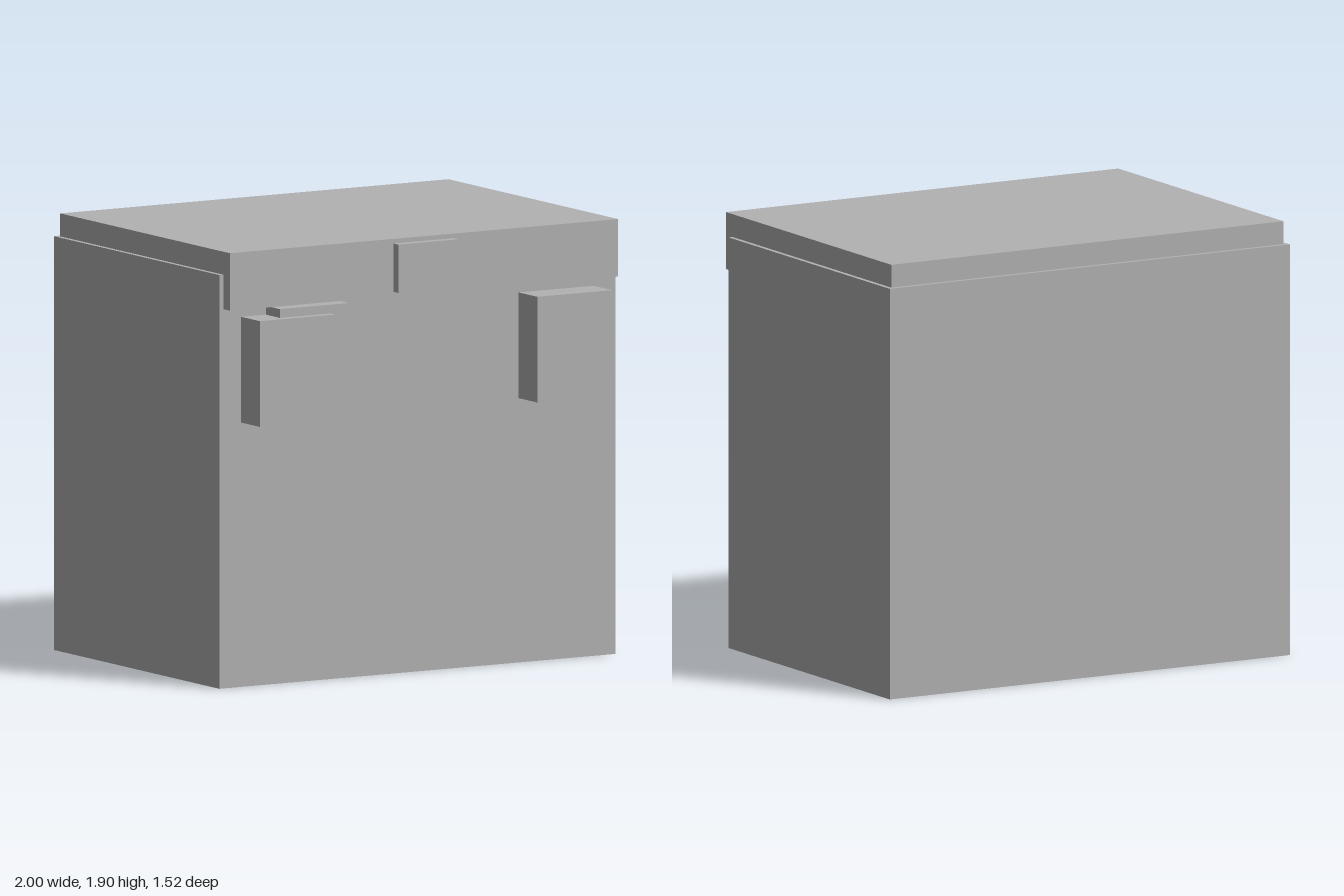
import * as THREE from 'three';

export function createModel() {
  const group = new THREE.Group();
  const grey = new THREE.MeshStandardMaterial({ color: 0xb2b2b2 });
  grey.name = 'plain grey';

  // Box given by its lower and upper corners
  function block(name, [x0, y0, z0], [x1, y1, z1]) {
    const mesh = new THREE.Mesh(new THREE.BoxGeometry(x1 - x0, y1 - y0, z1 - z0), grey);
    mesh.position.set((x0 + x1) / 2, (y0 + y1) / 2, (z0 + z1) / 2);
    mesh.name = name;
    group.add(mesh);
  }

  const front = 0.605; // front wall of the chest

  // Chest and the lid that overhangs its front
  block('body', [-1, 0, -0.76], [1, 1.8, front]);
  block('lid', [-0.98, 1.65, -0.74], [0.98, 1.9, 0.66]);

  // Latch on the lid's front edge
  block('latch', [-0.155, 1.67, 0.66], [0.15, 1.88, 0.7]);

  // Matching front blocks on both sides
  block('rightFrontBlock', [-0.89, 1.15, front], [-0.51, 1.61, 0.76]);
  block('leftFrontBlock', [0.51, 1.15, front], [0.89, 1.61, 0.76]);

  // Shallower plate overlapping the right block
  block('rightBackingPlate', [-0.765, 1.23, front], [-0.415, 1.648, 0.72]);

  return group;
}
